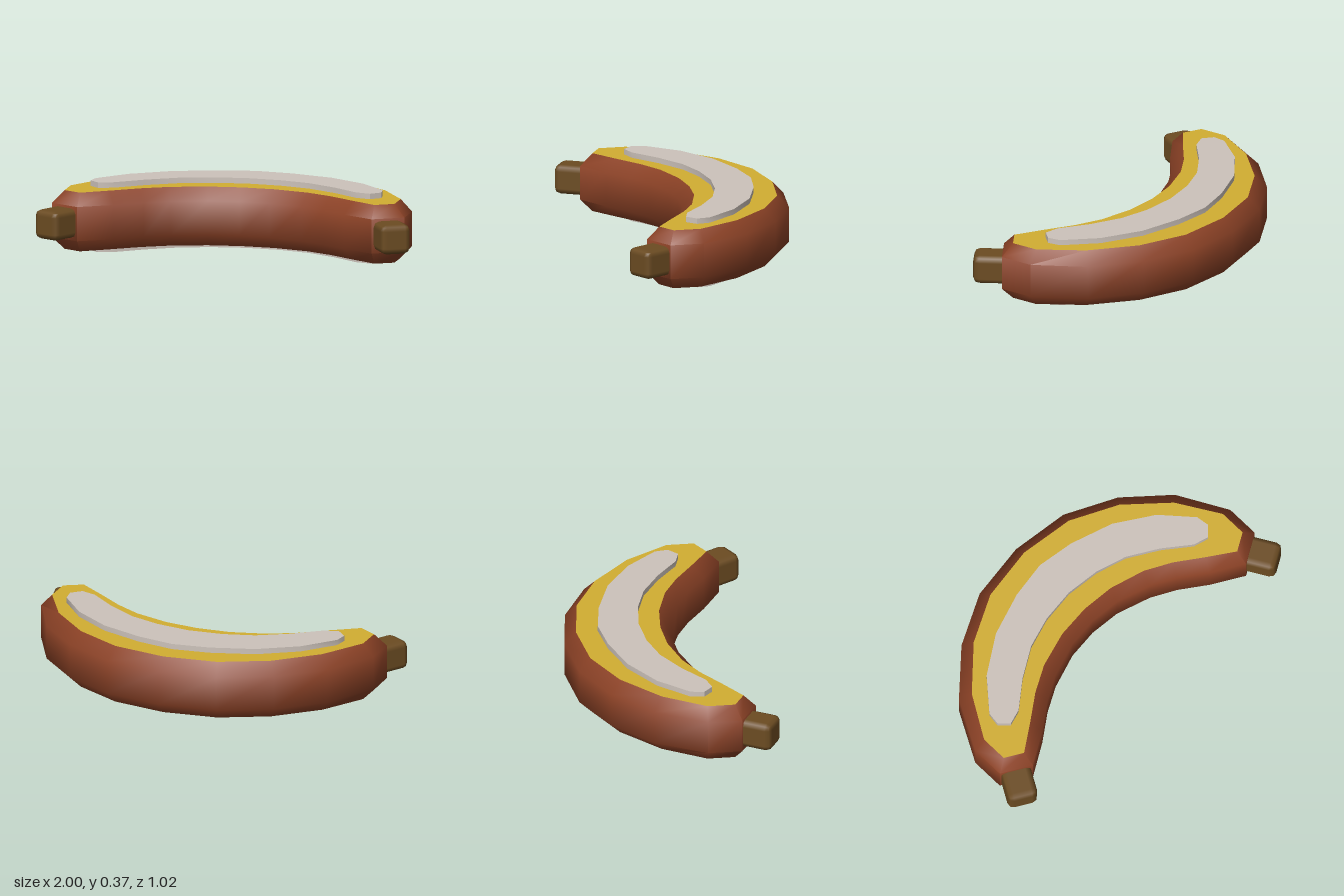
import * as THREE from 'three';
import { toCreasedNormals } from 'three/addons/utils/BufferGeometryUtils.js';
import { RoundedBoxGeometry } from 'three/addons/geometries/RoundedBoxGeometry.js';

function material(name, color) {
  const m = new THREE.MeshStandardMaterial({ color });
  m.name = name;
  return m;
}

// Half outlines as [x, z], from the back middle round the tip to the front middle
const OUTER = [[0, -0.51], [0.31, -0.47], [0.58, -0.335], [0.8, -0.135], [0.945, 0.13], [0.945, 0.31],
  [0.79, 0.4], [0.62, 0.3], [0.48, 0.2], [0.35, 0.13], [0.165, 0.07], [0, 0.055]];
const INNER = [[0, -0.45], [0.29, -0.41], [0.54, -0.285], [0.75, -0.09], [0.885, 0.135], [0.885, 0.28],
  [0.79, 0.335], [0.65, 0.24], [0.51, 0.14], [0.37, 0.065], [0.18, 0.01], [0, -0.005]];
const INLAY = [[0, -0.335], [0.2, -0.305], [0.43, -0.23], [0.63, -0.1], [0.77, 0.06], [0.78, 0.13],
  [0.73, 0.178], [0.65, 0.155], [0.51, 0.045], [0.35, -0.05], [0.185, -0.1], [0, -0.12]];

// Complete a half outline by mirroring it in x
function mirror(half) {
  return [...half, ...half.slice(1, -1).reverse().map(([x, z]) => [-x, z])];
}

function shape(half, sign = 1) {
  return new THREE.Shape(mirror(half).map(([x, z]) => new THREE.Vector2(x, sign * z)));
}

// Chamfered wall: four rings stacked upwards
function wallGeometry() {
  const outer = mirror(OUTER), inner = mirror(INNER), n = outer.length;
  const rings = [[inner, 0.03], [outer, 0.095], [outer, 0.277], [inner, 0.342]];
  const positions = [], index = [];
  for (const [ring, y] of rings) for (const [x, z] of ring) positions.push(x, y, z);
  for (let r = 0; r < rings.length - 1; r++) {
    for (let i = 0; i < n; i++) {
      const a = r * n + i, b = r * n + (i + 1) % n;
      index.push(a, a + n, b, b, a + n, b + n);
    }
  }
  const g = new THREE.BufferGeometry();
  g.setAttribute('position', new THREE.Float32BufferAttribute(positions, 3));
  g.setIndex(index);
  return toCreasedNormals(g, 0.9);
}

export function createModel() {
  const brown = material('reddish brown', 0x8c4226);
  const yellow = material('golden yellow', 0xd2ae32);
  const olive = material('olive yellow', 0xb9be34);
  const pale = material('pale grey', 0xcdc3bb);
  const stubBrown = material('dark stub brown', 0x6c4c22);

  const group = new THREE.Group();
  group.name = 'curvedFruit';
  function add(name, geometry, mat) {
    const mesh = new THREE.Mesh(geometry, mat);
    mesh.name = name;
    group.add(mesh);
    return mesh;
  }

  add('bodyWall', wallGeometry(), brown);

  // Flat coloured faces above and below
  add('topFace', new THREE.ShapeGeometry(shape(INNER, -1)).rotateX(-Math.PI / 2).translate(0, 0.342, 0), yellow);
  add('bottomFace', new THREE.ShapeGeometry(shape(INNER)).rotateX(Math.PI / 2).translate(0, 0.03, 0), olive);

  // Raised crescent plates on both faces
  for (const [name, top] of [['topInlay', 0.371], ['bottomInlay', 0.031]]) {
    const g = new THREE.ExtrudeGeometry(shape(INLAY), { depth: 0.031, bevelEnabled: false });
    add(name, toCreasedNormals(g.rotateX(Math.PI / 2).translate(0, top, 0), 0.6), pale);
  }

  // Chamfered stubs at the two tips
  for (const [name, side] of [['leftStub', 1], ['rightStub', -1]]) {
    const stub = add(name, new RoundedBoxGeometry(0.16, 0.155, 0.2, 1, 0.032), stubBrown);
    stub.position.set(side * 0.895, 0.187, 0.4);
    stub.rotation.y = side * Math.PI / 6;
  }
  return group;
}
